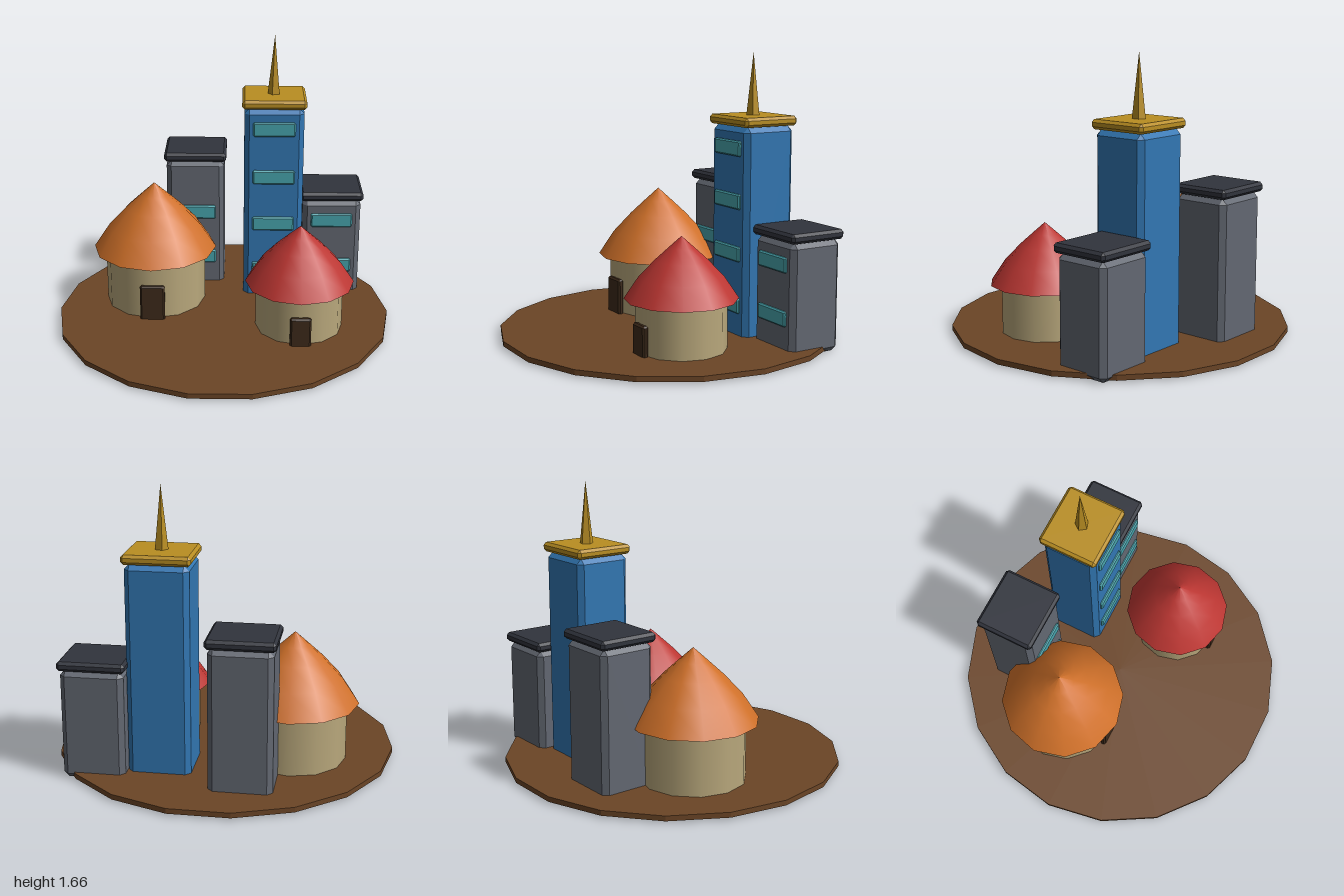
import * as THREE from 'three';
import { ConvexGeometry } from 'three/addons/geometries/ConvexGeometry.js';

const material = (color, flatShading = false) => new THREE.MeshStandardMaterial({ color, flatShading });
const mats = {
  earth: material(0x6b4526, true),
  wall: material(0xb9a87c),
  door: material(0x3d2a1a, true),
  orange: material(0xcf7029),
  red: material(0xbc3632),
  grey: material(0x636872, true),
  slate: material(0x31343d, true),
  blue: material(0x3277b3, true),
  gold: material(0xb98e22, true),
  glass: material(0x48a5ae, true),
};

function add(parent, name, geometry, mat, x = 0, y = 0, z = 0) {
  const mesh = new THREE.Mesh(geometry, mat);
  mesh.name = name;
  mesh.position.set(x, y, z);
  parent.add(mesh);
  return mesh;
}

// Box with every edge chamfered by c
function chamferBox(w, h, d, c) {
  const points = [];
  for (const sx of [-1, 1]) for (const sy of [-1, 1]) for (const sz of [-1, 1]) {
    for (let axis = 0; axis < 3; axis++) {
      const inset = [c, c, c];
      inset[axis] = 0;
      points.push(new THREE.Vector3(
        sx * (w / 2 - inset[0]), sy * (h / 2 - inset[1]), sz * (d / 2 - inset[2])));
    }
  }
  return new ConvexGeometry(points);
}

const lathe = (profile) =>
  new THREE.LatheGeometry(profile.map(([r, y]) => new THREE.Vector2(r, y)), 12);

// Round hut with a domed conical roof
function hut(name, roofMat, { x, z, r, eave, eaveR, apex, doorW, doorH }) {
  const g = new THREE.Group();
  g.name = name;
  g.position.set(x, 0, z);
  add(g, 'hutFloor', lathe([[0, 0], [r, 0.02]]), mats.wall);
  add(g, 'hutWall', lathe([[r, 0.02], [r, eave]]), mats.wall);
  const rise = apex - eave;
  const roof = [[1, 0], [0.75, 0.34], [0.46, 0.62], [0.22, 0.82], [0, 1]];
  add(g, 'hutRoof', lathe(roof.map(([a, b]) => [a * eaveR, eave + b * rise])), roofMat);
  add(g, 'roofUnderside', lathe([[0, eave - 0.02], [r, eave - 0.015], [eaveR, eave]]), roofMat);
  add(g, 'hutDoor', chamferBox(doorW, doorH, 0.035, 0.01), mats.door, 0, doorH / 2, r + 0.004);
  return g;
}

// Square tower with a capping slab and a column of front windows
function tower(name, bodyMat, capMat, { x, z, height, floors }) {
  const w = 0.36, d = 0.335;
  const g = new THREE.Group();
  g.name = name;
  g.position.set(x, 0, z);
  add(g, 'towerBody', chamferBox(w, height, d, 0.03), bodyMat, 0, height / 2, 0);
  add(g, 'towerCap', chamferBox(0.387, 0.055, 0.36, 0.016), capMat, 0, height + 0.029, 0);
  for (let i = 0; i < floors; i++) {
    add(g, 'window', chamferBox(0.255, 0.088, 0.03, 0.008), mats.glass, 0, 0.215 + i * 0.304, d / 2);
  }
  return g;
}

export function createModel() {
  const model = new THREE.Group();
  model.name = 'village';

  const ground = add(model, 'ground', new THREE.CylinderGeometry(1, 1, 0.03, 18), mats.earth, 0, 0.025, 0);
  ground.rotation.y = Math.PI / 2;

  model.add(
    hut('largeHut', mats.orange,
      { x: -0.425, z: -0.185, r: 0.305, eave: 0.382, eaveR: 0.375, apex: 0.8, doorW: 0.148, doorH: 0.255 }),
    hut('smallHut', mats.red,
      { x: 0.45, z: 0.18, r: 0.257, eave: 0.325, eaveR: 0.32, apex: 0.675, doorW: 0.122, doorH: 0.212 }),
    tower('leftRearTower', mats.grey, mats.slate, { x: -0.185, z: -0.578, height: 0.852, floors: 2 }),
    tower('rightTower', mats.grey, mats.slate, { x: 0.665, z: -0.455, height: 0.643, floors: 2 }),
  );

  // Tall tower with its spire
  const tall = tower('tallTower', mats.blue, mats.gold, { x: 0.3, z: -0.395, height: 1.248, floors: 4 });
  const spire = add(tall, 'spire', new THREE.ConeGeometry(0.04, 0.365, 5), mats.gold, 0, 1.4825, 0);
  spire.rotation.y = -Math.PI / 2;
  model.add(tall);

  return model;
}
